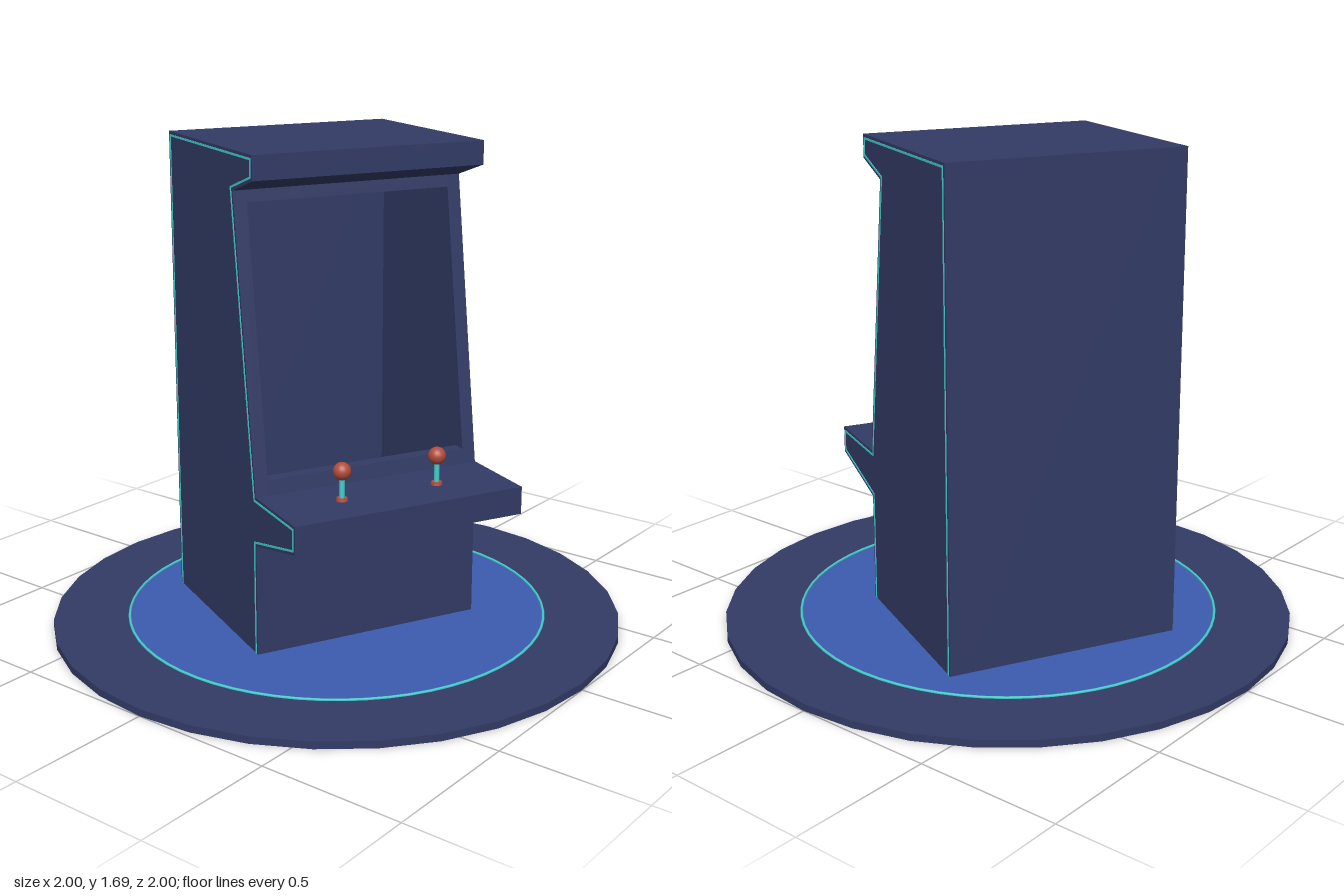
import * as THREE from 'three';

const navy = new THREE.MeshStandardMaterial({ color: 0x323b66, name: 'navy', side: THREE.DoubleSide });
const blue = new THREE.MeshStandardMaterial({ color: 0x3c5bb0, name: 'blue', side: THREE.DoubleSide });
const cyan = new THREE.MeshStandardMaterial({ color: 0x45cfd0, name: 'cyan' });
const red = new THREE.MeshStandardMaterial({ color: 0xb04c3c, name: 'red' });

// Side outline as [depth, height], counter-clockwise, front towards +depth
const profile = [
  [-0.455, 0], [0.243, 0], [0.243, 0.41], [0.54, 0.485], [0.54, 0.58], [0.243, 0.58],
  [0.095, 1.56], [0.25, 1.61], [0.25, 1.69], [-0.455, 1.69],
];

// Cross-section of the hollow body, open at the screen
const shell = [
  [0.235, 0.63], [0.243, 0.58], [0.54, 0.58], [0.54, 0.485], [0.243, 0.41], [0.243, 0],
  [-0.455, 0], [-0.455, 1.69], [0.25, 1.69], [0.25, 1.61], [0.095, 1.56], [0.101, 1.52],
  [0.05, 1.52], [0.05, 1.64], [-0.35, 1.64], [-0.35, 0.06], [0.19, 0.06], [0.19, 0.63],
];

const toPoints = (list) => list.map(([x, y]) => new THREE.Vector2(x, y));

// Moves every edge of a counter-clockwise outline inwards by t
function inset(points, t) {
  const n = points.length;
  return points.map((p, i) => {
    const a = p.clone().sub(points[(i + n - 1) % n]).normalize();
    const b = points[(i + 1) % n].clone().sub(p).normalize();
    const na = new THREE.Vector2(-a.y, a.x), nb = new THREE.Vector2(-b.y, b.x);
    return p.clone().addScaledVector(na.clone().add(nb), t / (1 + na.dot(nb)));
  });
}

function add(parent, name, geometry, material, x = 0, y = 0, z = 0) {
  const mesh = new THREE.Mesh(geometry, material);
  mesh.name = name;
  mesh.position.set(x, y, z);
  parent.add(mesh);
  return mesh;
}

// Extrudes a [depth, height] shape across the cabinet, centred on x = 0
function acrossGeometry(shape, width) {
  const g = new THREE.ExtrudeGeometry(shape, { depth: width, bevelEnabled: false });
  g.translate(0, 0, -width / 2);
  return g.rotateY(-Math.PI / 2);
}

export function createModel() {
  const model = new THREE.Group();
  model.name = 'arcadeCabinet';

  // Round platform: outer ring, inner floor and glowing seam
  const ring = new THREE.LatheGeometry(toPoints([[0.735, 0], [1, 0], [1, 0], [1, 0.025],
    [1, 0.025], [0.735, 0.025], [0.735, 0.025], [0.735, 0]]), 32);
  add(model, 'platformRing', ring, navy);
  add(model, 'platformFloor', new THREE.CircleGeometry(0.735, 32).rotateX(-Math.PI / 2), blue, 0, 0.024, 0);
  add(model, 'platformSeam', new THREE.TorusGeometry(0.735, 0.005, 6, 64).rotateX(Math.PI / 2), cyan, 0, 0.027, 0);

  // Cabinet, turned on the platform
  const cabinet = new THREE.Group();
  cabinet.name = 'cabinet';
  cabinet.rotation.y = 1.125;
  model.add(cabinet);
  add(cabinet, 'bodyShell', acrossGeometry(new THREE.Shape(toPoints(shell)), 0.736), navy);

  const outline = toPoints(profile);
  const trimShape = new THREE.Shape(inset(outline, 0.01));
  trimShape.holes.push(new THREE.Path(inset(outline, 0.017)));

  for (const s of [-1, 1]) {
    // Side panel with its edge trim
    add(cabinet, 'sidePanel', acrossGeometry(new THREE.Shape(outline), 0.047), navy, s * 0.3915);
    add(cabinet, 'sideTrim', acrossGeometry(trimShape, 0.004), cyan, s * 0.415);

    // Joystick
    const stick = new THREE.Group();
    stick.name = 'joystick';
    stick.position.set(s * 0.176, 0.58, 0.39);
    cabinet.add(stick);
    add(stick, 'joystickBase', new THREE.CylinderGeometry(0.018, 0.02, 0.01, 16), red, 0, 0.005, 0);
    add(stick, 'joystickShaft', new THREE.CylinderGeometry(0.009, 0.009, 0.08, 12), cyan, 0, 0.045, 0);
    add(stick, 'joystickBall', new THREE.SphereGeometry(0.03, 20, 14), red, 0, 0.1, 0);
  }
  return model;
}
